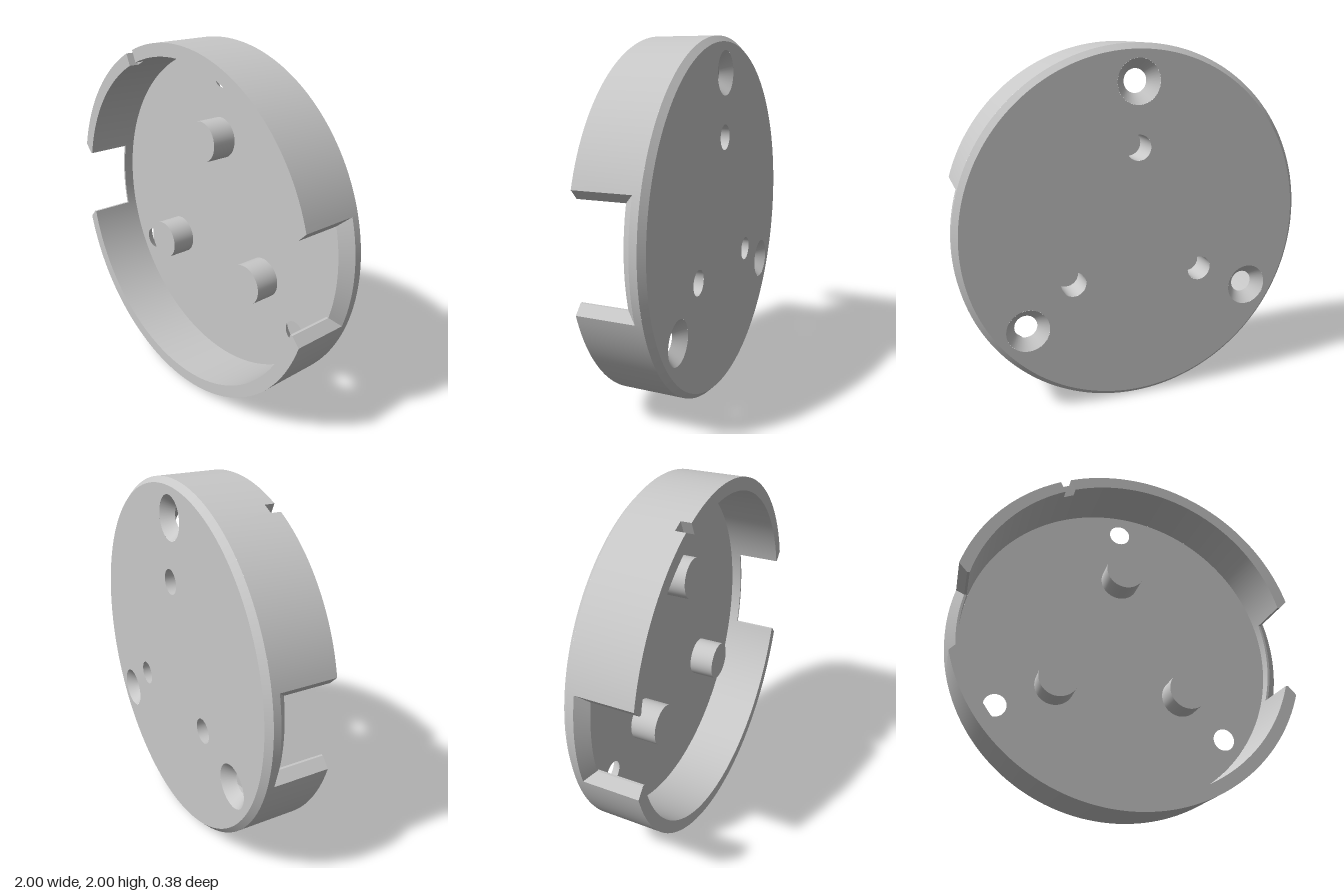
import * as THREE from 'three';
import { toCreasedNormals } from 'three/addons/utils/BufferGeometryUtils.js';

const R = 1, RM = 0.943, RI = 0.93;     // wall radii: outer, end of the flare, inner
const FRONT = 0.19, BACK = -0.19, FLOOR = -0.125, CHAMFER = 0.03;
const SEG = 160;

// turn a surface inside out
function flip(g) {
  g.setIndex(Array.from(g.index.array).reverse());
  const n = g.attributes.normal;
  for (let i = 0; i < n.count; i++) n.setXYZ(i, -n.getX(i), -n.getY(i), -n.getZ(i));
  return g;
}

// open tube along z, from radius r0 at z0 to radius r1 at z1
function tube(r0, z0, r1, z1, seg = 40) {
  return new THREE.CylinderGeometry(r1, r0, z1 - z0, seg, 1, true)
    .rotateX(Math.PI / 2).translate(0, 0, (z0 + z1) / 2);
}

// flat disc with round holes [x, y, r], facing +z
function disc(r, z, holes = []) {
  const s = new THREE.Shape().absarc(0, 0, r, 0, Math.PI * 2);
  for (const [x, y, hr] of holes) s.holes.push(new THREE.Path().absarc(x, y, hr, 0, Math.PI * 2, true));
  return new THREE.ShapeGeometry(s, SEG / 2).translate(0, 0, z);
}

// ring wall with cut-outs, built from angular stretches of differing height
function wallGeometry() {
  const pos = [];
  const radii = [R, RM, RI];
  const pt = (r, a, z) => [r * Math.cos(a), r * Math.sin(a), z];
  const quad = (a, b, c, d) => pos.push(...a, ...b, ...c, ...a, ...c, ...d);

  // from and to hold one angle per radius, tops one height per radius
  function stretch(from, to, tops) {
    const n = Math.max(1, Math.ceil((to[0] - from[0]) / 0.04));
    for (let k = 0; k < n; k++) {
      const [a, b] = [k / n, (k + 1) / n].map(t => from.map((f, i) => f + (to[i] - f) * t));
      const zo = BACK + CHAMFER;
      quad(pt(R, a[0], zo), pt(R, b[0], zo), pt(R, b[0], tops[0]), pt(R, a[0], tops[0]));
      quad(pt(RI, b[2], FLOOR), pt(RI, a[2], FLOOR), pt(RI, a[2], tops[2]), pt(RI, b[2], tops[2]));
      for (let i = 0; i < 2; i++) {
        const j = i + 1;
        quad(pt(radii[i], a[i], tops[i]), pt(radii[i], b[i], tops[i]),
          pt(radii[j], b[j], tops[j]), pt(radii[j], a[j], tops[j]));
      }
    }
  }

  // cut-outs: centre angle, half width and floor height at each radius
  const cuts = [
    { c: 0, half: [0.298, 0.25, 0.25], z: [-0.12, -0.065, -0.065] },
    { c: 2.0, half: [0.032, 0.032, 0.032], z: [0.135, 0.135, 0.135] },
    { c: Math.PI, half: [0.253, 0.203, 0.203], z: [-0.12, -0.065, -0.065] },
  ];
  const edge = (cut, side, turn = 0) =>
    cut.half.map((h, i) => cut.c + turn + side * Math.asin(h / radii[i]));

  cuts.forEach((cut, k) => {
    const last = k === cuts.length - 1;
    const next = cuts[(k + 1) % cuts.length];
    stretch(edge(cut, -1), edge(cut, 1), cut.z);
    stretch(edge(cut, 1), edge(next, -1, last ? Math.PI * 2 : 0), [FRONT, FRONT, FRONT]);
    // side faces of the cut-out
    for (const s of [-1, 1]) {
      const e = edge(cut, s);
      for (let i = 0; i < 2; i++) {
        const j = i + 1;
        const f = [pt(radii[j], e[j], cut.z[j]), pt(radii[j], e[j], FRONT),
          pt(radii[i], e[i], FRONT), pt(radii[i], e[i], cut.z[i])];
        quad(...(s < 0 ? f : f.reverse()));
      }
    }
  });
  const g = new THREE.BufferGeometry();
  g.setAttribute('position', new THREE.Float32BufferAttribute(pos, 3));
  return toCreasedNormals(g, 0.4);
}

export function createModel() {
  const model = new THREE.Group();
  const body = new THREE.Group();
  body.name = 'roundHousing';
  body.position.y = 1;
  model.add(body);

  const grey = new THREE.MeshStandardMaterial({ color: 0xc8c8c8 });
  grey.name = 'plain grey';
  const add = (name, g, x = 0, y = 0) => {
    const m = new THREE.Mesh(g, grey);
    m.name = name;
    m.position.set(x, y, 0);
    body.add(m);
  };

  const screws = [[0, 0.805], [-0.695, -0.412], [0.635, -0.498]];
  const bosses = [[0, 0.46], [-0.375, -0.265], [0.375, -0.265]];
  const screwR = 0.064, sinkR = 0.12;
  const bossR = 0.114, bossZ = 0.02, boreR = 0.07, boreZ = -0.03;

  // plate, rim and wall
  add('wall', wallGeometry());
  add('floor', disc(RI, FLOOR, screws.map(p => [...p, screwR])));
  add('backFace', flip(disc(R - CHAMFER, BACK,
    [...screws.map(p => [...p, sinkR]), ...bosses.map(p => [...p, boreR])])));
  add('backChamfer', tube(R - CHAMFER, BACK, R, BACK + CHAMFER, SEG));

  // conical screw holes through the plate
  for (const [x, y] of screws) add('countersink', flip(tube(sinkR, BACK, screwR, FLOOR)), x, y);

  // round bosses with blind bores from the back
  for (const [x, y] of bosses) {
    add('bossSide', tube(bossR, FLOOR, bossR, bossZ, 48), x, y);
    add('bossTop', disc(bossR, bossZ), x, y);
    add('boreSide', flip(tube(boreR, BACK, boreR, boreZ)), x, y);
    add('boreEnd', flip(disc(boreR, boreZ)), x, y);
  }
  return model;
}
